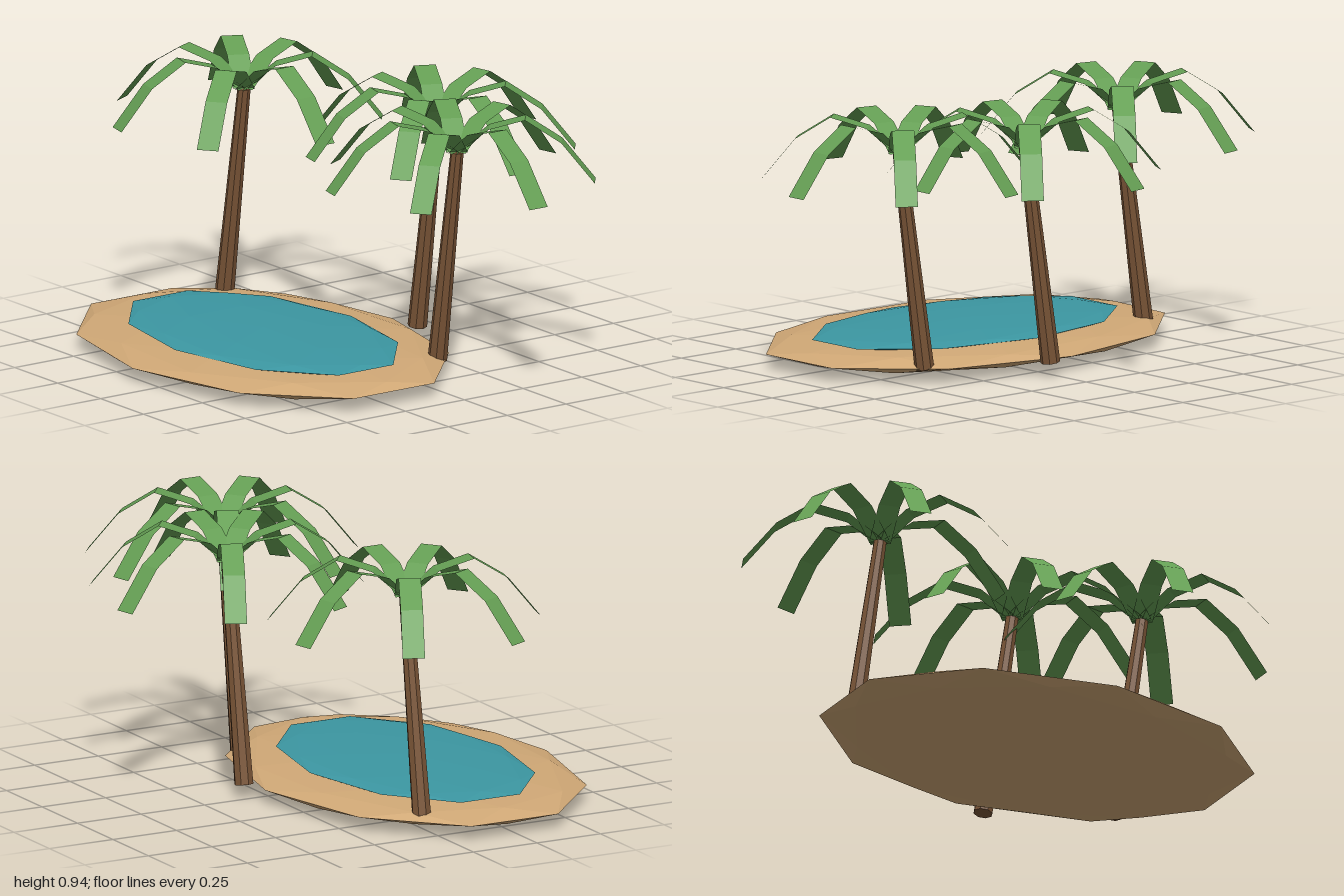
import * as THREE from 'three';

const mat = (name, color, side = THREE.FrontSide) => {
  const m = new THREE.MeshStandardMaterial({ color, flatShading: true, side });
  m.name = name;
  return m;
};

// Low-poly ball with one vertex at the top, squashed to three radii
function flatBall(rx, ry, rz) {
  const g = new THREE.IcosahedronGeometry(1, 1);
  g.rotateZ(-Math.atan(2 / (1 + Math.sqrt(5))));
  g.scale(rx, ry, rz);
  return g;
}

// Drooping leaf strip: distance from the crown centre, height above the trunk top
const FROND = [[0, 0], [0.11, 0.09], [0.235, 0.125], [0.36, 0.045], [0.475, -0.097]];
function frondGeometry(width) {
  const n = FROND.length;
  const g = new THREE.PlaneGeometry(1, width, n - 1, 1);
  const p = g.attributes.position;
  for (let i = 0; i < p.count; i++) {
    const [r, h] = FROND[i % n];
    p.setXYZ(i, r, h, i < n ? -width / 2 : width / 2);
  }
  g.computeVertexNormals();
  return g;
}

export function createModel() {
  const sand = mat('sand', 0xd0a876);
  const water = mat('water', 0x3c97a2);
  const bark = mat('bark', 0x7a5537);
  const leaf = mat('leaf', 0x659f54, THREE.DoubleSide);
  const model = new THREE.Group();
  model.name = 'oasis';

  const add = (parent, name, geometry, material, x = 0, y = 0, z = 0) => {
    const mesh = new THREE.Mesh(geometry, material);
    mesh.name = name;
    mesh.position.set(x, y, z);
    parent.add(mesh);
    return mesh;
  };

  // Island and pool
  add(model, 'island', flatBall(0.805, 0.051, 0.553), sand, -0.1, 0.052, 0.237);
  add(model, 'pool', flatBall(0.63, 0.022, 0.375), water, -0.097, 0.09, 0.237);

  // Palms: leaning trunk with a ring of seven fronds
  const lean = 0.115, rise = 0.765, baseY = 0.05;
  const trunk = new THREE.CylinderGeometry(0.023, 0.034, Math.hypot(lean, rise), 8);
  const frond = frondGeometry(0.077);
  for (const [x, z] of [[-0.57, -0.027], [0.133, -0.335], [0.53, -0.13]]) {
    const palm = new THREE.Group();
    palm.name = 'palm';
    palm.position.set(x, baseY + rise, z);
    add(palm, 'trunk', trunk, bark, -lean / 2, -rise / 2).rotation.z = -Math.atan2(lean, rise);
    for (let i = 0; i < 7; i++) {
      add(palm, 'frond', frond, leaf).rotation.y = (i * Math.PI * 2) / 7;
    }
    model.add(palm);
  }
  return model;
}
